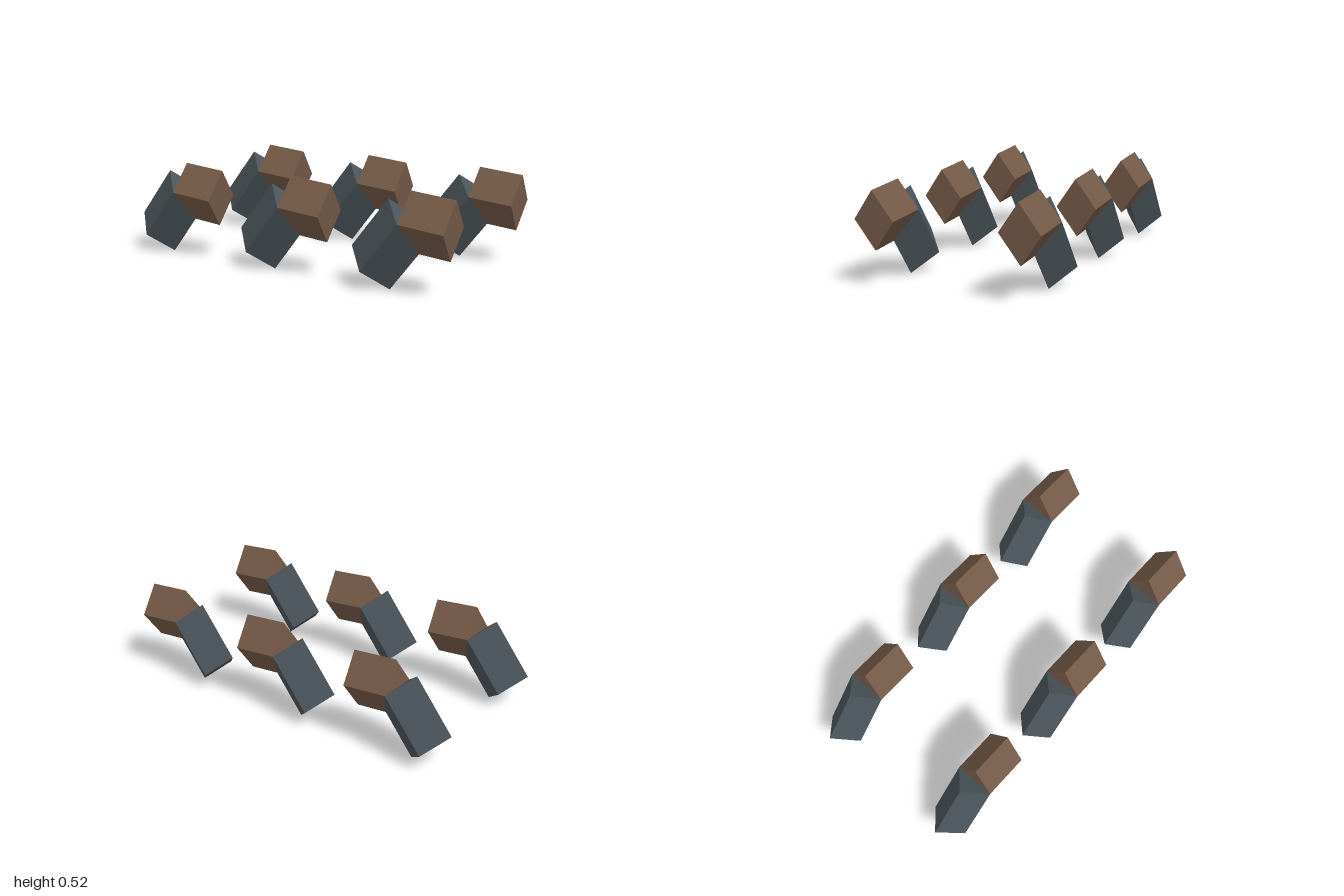
import * as THREE from 'three';

const slate = new THREE.MeshStandardMaterial({ color: 0x4a545a, flatShading: true });
const brown = new THREE.MeshStandardMaterial({ color: 0x755a47, flatShading: true });

const HALF_DEPTH = 0.109;

// Diamond-section prism running from start to end; half = in-plane half diagonal
function diamondPrism(name, start, end, half, material) {
  const geometry = new THREE.CylinderGeometry(1, 1, 1, 4).toNonIndexed();
  const matrix = new THREE.Matrix4().makeBasis(
    new THREE.Vector3(half[0], half[1], 0),
    new THREE.Vector3(end[0] - start[0], end[1] - start[1], 0),
    new THREE.Vector3(0, 0, HALF_DEPTH)
  );
  matrix.setPosition((start[0] + end[0]) / 2, (start[1] + end[1]) / 2, 0);
  geometry.applyMatrix4(matrix);
  geometry.computeVertexNormals();
  const mesh = new THREE.Mesh(geometry, material);
  mesh.name = name;
  return mesh;
}

// One bent limb: both segments share the joint point at the group's origin
function createLimb() {
  const limb = new THREE.Group();
  limb.add(diamondPrism('lowerSegment', [-0.209, -0.266], [0, 0], [0.1125, -0.099], slate));
  limb.add(diamondPrism('upperSegment', [0, 0], [0.25, -0.021], [-0.0125, -0.153], brown));
  return limb;
}

export function createModel() {
  const model = new THREE.Group();
  model.name = 'limbSet';
  // Two rows of three identical limbs
  for (const [row, z] of [['front', 0.391], ['back', -0.391]]) {
    ['Right', 'Middle', 'Left'].forEach((column, i) => {
      const limb = createLimb();
      limb.name = `${row}${column}Limb`;
      limb.position.set(-0.679 + i * 0.7085, 0.365, z);
      model.add(limb);
    });
  }
  return model;
}
